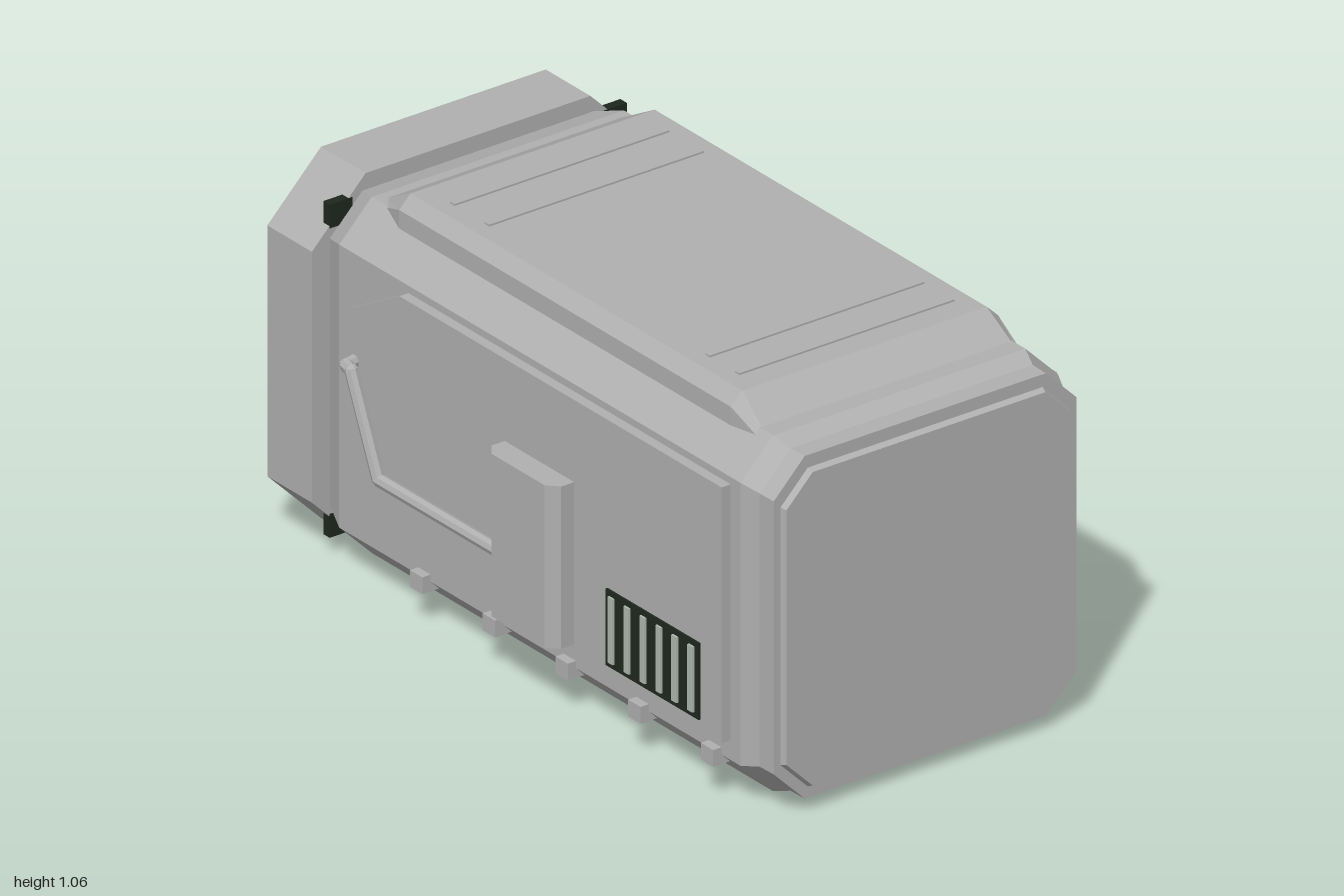
import * as THREE from 'three';

const hull = new THREE.MeshStandardMaterial({ color: 0xb0b0b0 });
hull.name = 'hullGrey';
const dark = new THREE.MeshStandardMaterial({ color: 0x1e281e });
dark.name = 'darkGreen';
const slat = new THREE.MeshStandardMaterial({ color: 0xb0b8b0 });
slat.name = 'slatGrey';
for (const m of [hull, dark, slat]) m.flatShading = true;

// Chamfered rectangle, counterclockwise seen from +z
const oct = (w, y0, y1, c) => [
  [-w + c, y0], [w - c, y0], [w, y0 + c], [w, y1 - c],
  [w - c, y1], [-w + c, y1], [-w, y1 - c], [-w, y0 + c],
];

// Skin a solid over cross-sections [z, points], ordered back to front
function loft(rings) {
  const pos = [];
  const tri = (...pts) => pts.forEach((p) => pos.push(...p));
  const R = rings.map(([z, pts]) => pts.map(([x, y]) => [x, y, z]));
  const n = R[0].length;
  for (let i = 0; i < R.length - 1; i++) {
    for (let j = 0; j < n; j++) {
      const k = (j + 1) % n;
      tri(R[i][j], R[i][k], R[i + 1][k]);
      tri(R[i][j], R[i + 1][k], R[i + 1][j]);
    }
  }
  const back = R[0], front = R[R.length - 1];
  for (let j = 1; j < n - 1; j++) {
    tri(back[0], back[j + 1], back[j]);
    tri(front[0], front[j], front[j + 1]);
  }
  const g = new THREE.BufferGeometry();
  g.setAttribute('position', new THREE.Float32BufferAttribute(pos, 3));
  g.computeVertexNormals();
  return g;
}

const shapeOf = (pts) => new THREE.Shape(pts.map(([x, y]) => new THREE.Vector2(x, y)));
const extrude = (shape, depth) => new THREE.ExtrudeGeometry(shape, { depth, bevelEnabled: false });

export function createModel() {
  const model = new THREE.Group();
  model.name = 'cargoPod';
  const add = (name, geo, mat = hull, parent = model) => {
    const m = new THREE.Mesh(geo, mat);
    m.name = name;
    parent.add(m);
    return m;
  };
  const box = (name, size, at, mat, parent) =>
    add(name, new THREE.BoxGeometry(...size), mat, parent).position.set(...at);

  // Main body, with a tapered tail and stepped nose
  add('body', loft([
    [-0.82, oct(0.455, 0.045, 0.975, 0.1)],
    [-0.74, oct(0.487, 0.025, 1.0, 0.1)],
    [0.88, oct(0.487, 0.025, 1.0, 0.1)],
    [0.93, oct(0.467, 0.042, 0.98, 0.095)],
    [0.985, oct(0.465, 0.042, 0.98, 0.095)],
  ]));

  // Raised front panel with bevelled rim
  add('frontPanel', loft([
    [0.98, oct(0.447, 0.07, 0.948, 0.085)],
    [1.0, oct(0.437, 0.08, 0.938, 0.08)],
  ]));

  // Roof ridge sloping down at both ends
  const roof = (w, shoulder, t, top) => [
    [-w, 0.95], [w, 0.95], [w, shoulder], [t, top], [-t, top], [-w, shoulder],
  ];
  add('roofRidge', loft([
    [-0.73, roof(0.375, 0.975, 0.355, 0.99)],
    [-0.6, roof(0.41, 1.028, 0.375, 1.062)],
    [0.74, roof(0.41, 1.028, 0.375, 1.062)],
    [0.85, roof(0.4, 0.975, 0.385, 0.985)],
  ]));
  for (const z of [0.66, 0.54, -0.35, -0.49]) {
    box('roofRib', [0.66, 0.012, 0.018], [0, 1.061, z], hull, model);
  }

  // Hollow rear collar
  const collar = shapeOf(oct(0.51, 0.003, 1.02, 0.165));
  collar.holes.push(shapeOf(oct(0.452, 0.06, 0.962, 0.133)));
  add('rearCollar', extrude(collar, 0.18).translate(0, 0, -1));

  // Dark bumpy fill set inside the collar
  add('rearFill', extrude(shapeOf(oct(0.453, 0.058, 0.964, 0.133)), 0.05).translate(0, 0, -0.88));
  model.children[model.children.length - 1].material = dark;
  for (let r = 0; r < 5; r++) {
    for (let c = 0; c < 4; c++) {
      const x = -0.33 + c * 0.2 + (r % 2) * 0.07;
      const y = 0.16 + r * 0.175 + (c % 2 ? 0.03 : -0.02);
      if (Math.abs(x) + Math.abs(y - 0.511) > 0.66) continue;
      const bump = add('fillBump', new THREE.SphereGeometry(0.085 + 0.015 * ((r + c) % 2), 14, 8), dark);
      bump.scale.z = 0.28;
      bump.position.set(x, y, -0.88);
    }
  }

  // Dark latches at the four corners of the collar
  for (const sx of [-1, 1]) {
    for (const y of [0.088, 0.935]) {
      box('cornerLatch', [0.07, 0.065, 0.026], [sx * 0.421, y, -0.832], dark, model);
    }
  }

  for (const s of [-1, 1]) {
    const side = new THREE.Group();
    side.name = s > 0 ? 'leftSide' : 'rightSide';
    model.add(side);

    // Side panel with one cut corner, drawn as (-z, y)
    const panel = shapeOf([[-0.84, 0.18], [0.68, 0.18], [0.68, 0.755], [0.46, 0.88], [-0.84, 0.88]]);
    add('sidePanel', extrude(panel, 0.045).rotateY(Math.PI / 2)
      .translate(s > 0 ? 0.47 : -0.515, 0, 0), hull, side);

    // Chamfered equipment box, drawn as (x, -z)
    const plan = [[0.5, -0.245], [0.555, -0.245], [0.583, -0.215], [0.583, 0], [0.555, 0.035], [0.5, 0.035]];
    add('equipmentBox', extrude(shapeOf(plan.map(([x, z]) => [s * x, z])), 0.445)
      .rotateX(-Math.PI / 2).translate(0, 0.21, 0), hull, side);

    // Bent pipe running from the box into the panel
    const path = [[0.552, 0.375, 0], [0.552, 0.375, -0.495], [0.552, 0.63, -0.605],
      [0.545, 0.63, -0.635], [0.5, 0.63, -0.645]].map(([x, y, z]) => new THREE.Vector3(s * x, y, z));
    for (let i = 0; i < path.length - 1; i++) {
      const dir = path[i + 1].clone().sub(path[i]);
      const pipe = add('pipe', new THREE.CylinderGeometry(0.018, 0.018, dir.length(), 8), hull, side);
      pipe.position.copy(path[i]).addScaledVector(dir, 0.5);
      pipe.quaternion.setFromUnitVectors(new THREE.Vector3(0, 1, 0), dir.normalize());
      if (i) add('pipeJoint', new THREE.SphereGeometry(0.018, 8, 6), hull, side).position.copy(path[i]);
    }

    // Dark vent with pale slats
    box('vent', [0.009, 0.21, 0.375], [s * 0.516, 0.315, 0.567], dark, side);
    for (let i = 0; i < 6; i++) {
      box('ventSlat', [0.009, 0.18, 0.021], [s * 0.522, 0.315, 0.727 - i * 0.0645], slat, side);
    }

    // Row of clips along the lower edge
    for (let i = 0; i < 5; i++) {
      box('clip', [0.055, 0.046, 0.05], [s * 0.485, 0.122, 0.778 - i * 0.2935], hull, side);
    }
  }
  return model;
}
